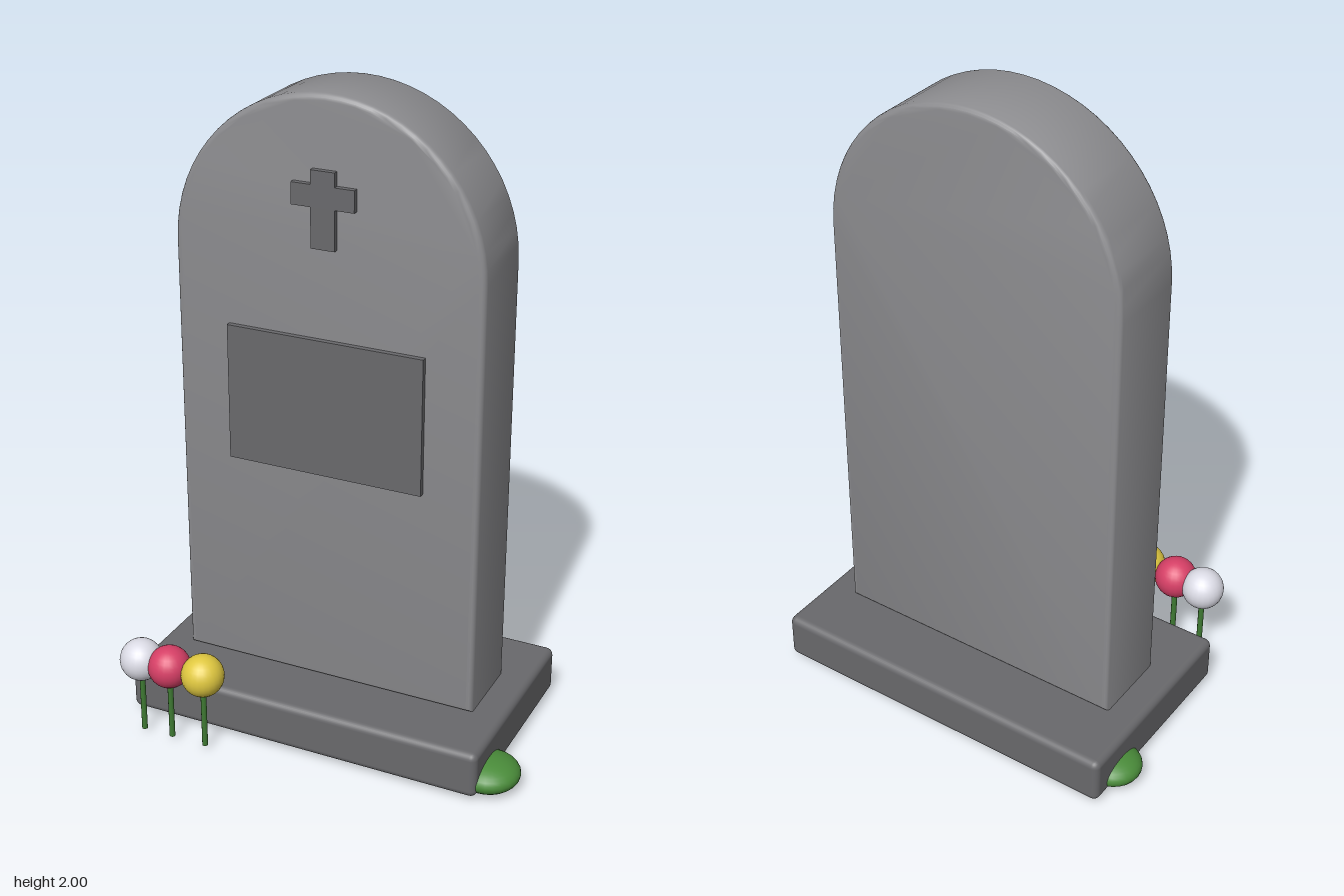
import * as THREE from 'three';
import { toCreasedNormals } from 'three/addons/utils/BufferGeometryUtils.js';
import { RoundedBoxGeometry } from 'three/addons/geometries/RoundedBoxGeometry.js';

const material = (name, color) => {
  const m = new THREE.MeshStandardMaterial({ color });
  m.name = name;
  return m;
};

export function createModel() {
  const group = new THREE.Group();
  const stone = material('stone', 0x8c8c8f);
  const darkStone = material('dark stone', 0x69696c);
  const moss = material('moss green', 0x4a8c3a);
  const stemGreen = material('stem green', 0x3f7a33);
  const white = material('white petals', 0xdcdce6);
  const red = material('red petals', 0xd63f66);
  const yellow = material('yellow petals', 0xe0c840);

  const add = (name, geometry, mat, x, y, z, parent = group) => {
    const mesh = new THREE.Mesh(geometry, mat);
    mesh.name = name;
    mesh.position.set(x, y, z);
    parent.add(mesh);
    return mesh;
  };

  const midX = -0.021;

  // Plinth
  add('base', new RoundedBoxGeometry(1.154, 0.149, 0.672, 3, 0.022), darkStone, midX, 0.0915, -0.078);

  // Round-topped slab with softened edges
  const r = 0.48, spring = 1.354, depth = 0.265, bevel = 0.018;
  const arch = new THREE.Shape();
  arch.moveTo(-r, 0);
  arch.lineTo(r, 0);
  arch.lineTo(r, spring);
  arch.absarc(0, spring, r, 0, Math.PI, false);
  arch.closePath();
  const slab = new THREE.ExtrudeGeometry(arch, {
    depth: depth - 2 * bevel, curveSegments: 16,
    bevelThickness: bevel, bevelSize: bevel, bevelOffset: -bevel, bevelSegments: 4,
  });
  add('slab', toCreasedNormals(slab, 0.6), stone, midX, 0.166, -0.21 + bevel);

  // Raised blank plaque and cross on the front face
  add('plaque', new THREE.BoxGeometry(0.618, 0.424, 0.03), darkStone, midX, 1.077, 0.057);
  const cross = new THREE.Shape([
    [-0.037, 1.563], [0.037, 1.563], [0.037, 1.683], [0.097, 1.683], [0.097, 1.748], [0.037, 1.748],
    [0.037, 1.79], [-0.037, 1.79], [-0.037, 1.748], [-0.097, 1.748], [-0.097, 1.683], [-0.037, 1.683],
  ].map(([x, y]) => new THREE.Vector2(x, y)));
  add('cross', new THREE.ExtrudeGeometry(cross, { depth: 0.03, bevelEnabled: false }), darkStone, midX, 0, 0.042);

  // Flattened moss clumps tucked around the plinth
  for (const [x, z, size] of [[0.556, 0.15, 0.097], [-0.568, -0.274, 0.088], [0.4, -0.295, 0.092]]) {
    add('mossClump', new THREE.SphereGeometry(size, 24, 16), moss, x, 0.051, z).scale.y = 0.5;
  }

  // Row of flowers
  const head = new THREE.SphereGeometry(0.066, 24, 16);
  const stem = new THREE.CylinderGeometry(0.009, 0.009, 0.248, 10);
  for (const [x, petals] of [[-0.504, white], [-0.406, red], [-0.291, yellow]]) {
    const flower = new THREE.Group();
    flower.name = 'flower';
    flower.position.set(x, 0, 0.348);
    add('stem', stem, stemGreen, 0, 0.141, 0, flower);
    add('bloom', head, petals, 0, 0.265, 0, flower);
    group.add(flower);
  }

  return group;
}
